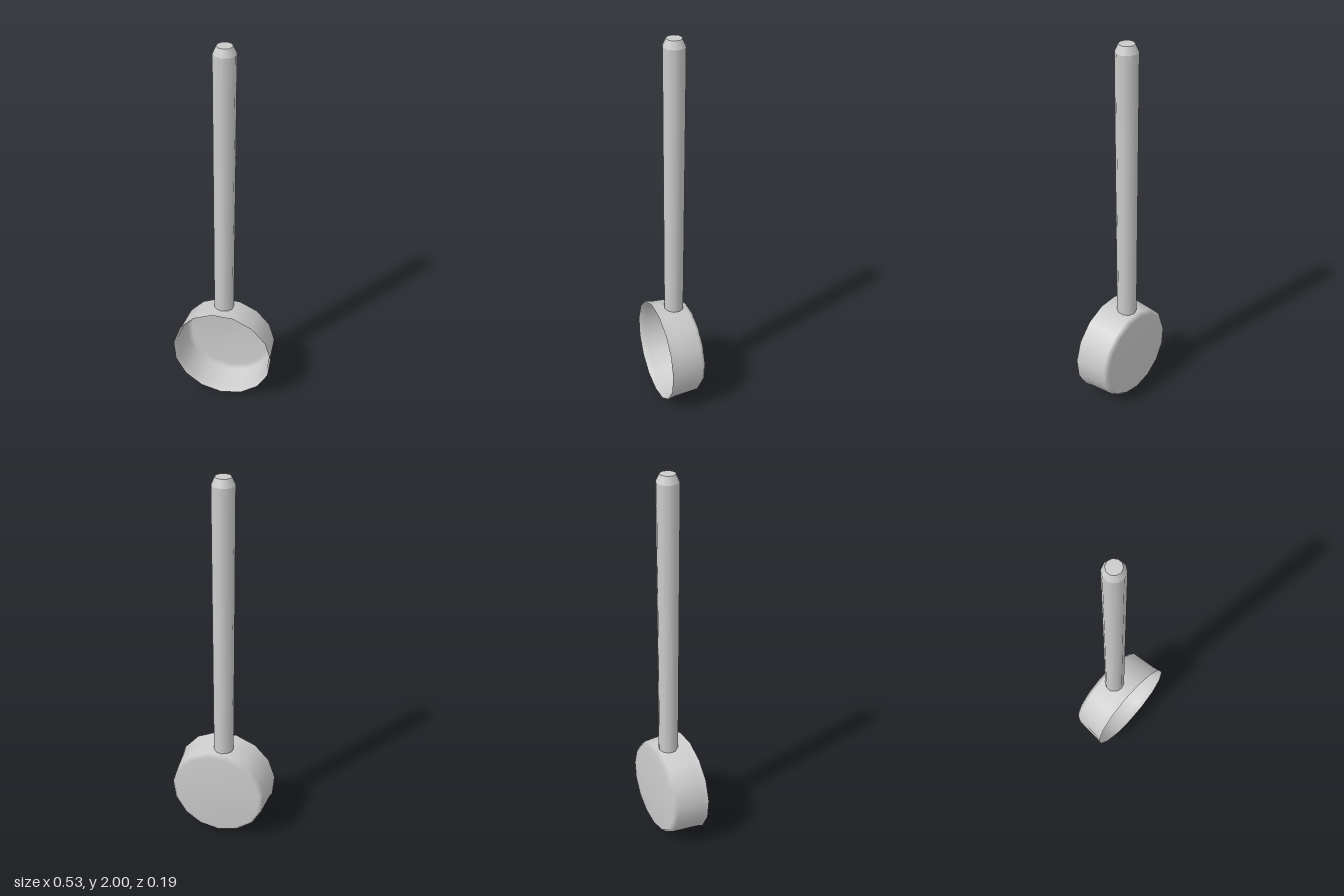
import * as THREE from 'three';

const SIDES = 15;

export function createModel() {
  const group = new THREE.Group();
  const material = new THREE.MeshStandardMaterial({ color: 0xcccccc });

  const add = (name, geometry, x, y, z) => {
    const mesh = new THREE.Mesh(geometry, material);
    mesh.name = name;
    mesh.position.set(x, y, z);
    group.add(mesh);
    return mesh;
  };

  // Bowl shells, turned around the z axis and open towards the front
  const turned = (profile) =>
    new THREE.LatheGeometry(
      profile.map(([r, h]) => new THREE.Vector2(r, h)),
      SIDES, THREE.MathUtils.degToRad(95)
    ).rotateX(Math.PI / 2);

  const outer = [[0, -0.097], [0.231, -0.097], [0.25, -0.075], [0.26, 0.06], [0.267, 0.093]];
  const inner = [[0.267, 0.093], [0.253, 0.06], [0.238, -0.065], [0.215, -0.083], [0, -0.086]];
  add('bowlOutside', turned(outer), 0, 0.267, 0);
  add('bowlInside', turned(inner), 0, 0.267, 0);

  // Slightly tapered ten-sided handle, sunk into the top of the bowl wall
  const bottom = 0.512, shoulder = 1.962, top = 2;
  const handle = new THREE.CylinderGeometry(0.056, 0.051, shoulder - bottom, 10);
  // Lean the foot a little towards -x
  const pos = handle.attributes.position;
  for (let i = 0; i < pos.count; i++) if (pos.getY(i) < 0) pos.setX(i, pos.getX(i) - 0.004);
  add('handle', handle, -0.01, (bottom + shoulder) / 2, -0.0155);

  // Chamfered handle end
  add('handleTip', new THREE.CylinderGeometry(0.039, 0.056, top - shoulder, 10),
    -0.01, (shoulder + top) / 2, -0.0155);

  return group;
}
